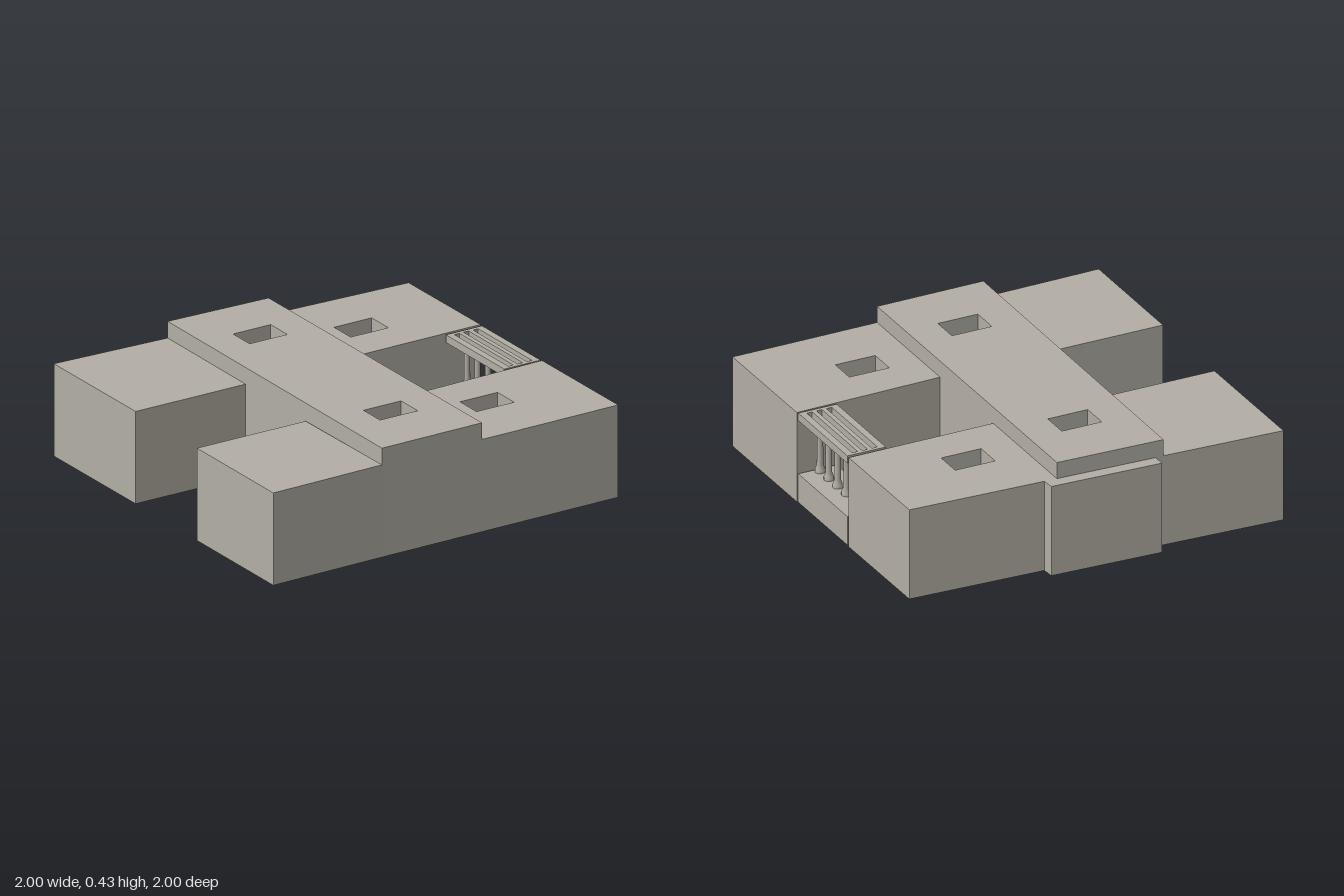
import * as THREE from 'three';
import { mergeGeometries } from 'three/addons/utils/BufferGeometryUtils.js';

const ANGLE = 0.54; // plan rotation of the whole building
const ROOF = 0.36, SPINE_ROOF = 0.425;

// Corners of a light well centred on (x, z), turned with the building
function wellCorners(x, z, w = 0.11, d = 0.162) {
  const c = Math.cos(ANGLE), s = Math.sin(ANGLE);
  return [[-1, -1], [1, -1], [1, 1], [-1, 1]].map(([i, j]) => {
    const u = i * w / 2, v = j * d / 2;
    return [x + u * c - v * s, z + u * s + v * c];
  });
}

const toVectors = (pts) => pts.map(([x, z]) => new THREE.Vector2(x, -z));

// Horizontal sheet with optional holes
function sheet(pts, y, holes = []) {
  const shape = new THREE.Shape(toVectors(pts));
  holes.forEach((h) => shape.holes.push(new THREE.Path(toVectors(h))));
  return new THREE.ShapeGeometry(shape).rotateX(-Math.PI / 2).translate(0, y, 0).toNonIndexed();
}

// Vertical walls standing on a closed outline
function walls(pts, height) {
  const pos = [], uv = [];
  pts.forEach(([ax, az], i) => {
    const [bx, bz] = pts[(i + 1) % pts.length];
    pos.push(ax, 0, az, ax, height, az, bx, height, bz);
    pos.push(ax, 0, az, bx, height, bz, bx, 0, bz);
    uv.push(0, 0, 0, 1, 1, 1, 0, 0, 1, 1, 1, 0);
  });
  const g = new THREE.BufferGeometry();
  g.setAttribute('position', new THREE.Float32BufferAttribute(pos, 3));
  g.setAttribute('uv', new THREE.Float32BufferAttribute(uv, 2));
  g.computeVertexNormals();
  return g;
}

export function createModel() {
  const group = new THREE.Group();
  const concrete = new THREE.MeshStandardMaterial({ color: 0xb2aea4, side: THREE.DoubleSide });
  concrete.name = 'concrete';

  const add = (name, geometry, parent = group) => {
    const mesh = new THREE.Mesh(geometry, concrete);
    mesh.name = name;
    parent.add(mesh);
    return mesh;
  };

  // Hollow block, open below, with light wells sunk through the roof to the ground
  const block = (name, pts, height, wells = []) => {
    const holes = wells.map((w) => wellCorners(w.x, w.z));
    const parts = [walls(pts, height), sheet(pts, height, holes)];
    holes.forEach((h, i) => {
      parts.push(walls([...h].reverse(), height));
      if (!wells[i].open) parts.push(sheet(h, 0.002));
    });
    add(name, mergeGeometries(parts));
  };

  // Four wings around a taller central spine
  block('backRightWing', [[-0.187, -1], [0.219, -0.759], [-0.08, -0.251], [-0.508, -0.508]],
    ROOF, [{ x: -0.155, z: -0.545 }]);
  block('backLeftWing', [[0.567, -0.551], [0.998, -0.294], [0.7, 0.214], [0.273, -0.032]],
    ROOF, [{ x: 0.561, z: -0.112 }]);
  block('frontRightWing', [[-0.738, -0.15], [-0.294, 0.118], [-0.537, 0.524], [-1, 0.248]], ROOF);
  block('frontLeftWing', [[0.053, 0.337], [0.481, 0.588], [0.246, 0.998], [-0.187, 0.738]], ROOF);
  block('centralSpine', [[-0.508, -0.508], [0.7, 0.214], [0.481, 0.588], [-0.738, -0.15]],
    SPINE_ROOF, [{ x: -0.385, z: -0.187 }, { x: 0.353, z: 0.254, open: true }]);
  block('sideBay', [[-0.524, -0.572], [-0.48, -0.55], [-0.722, -0.178], [-0.765, -0.203]], ROOF);

  // Colonnade closing the courtyard between the back wings
  const colonnade = new THREE.Group();
  colonnade.name = 'colonnade';
  colonnade.position.set(0.355, 0, -0.584);
  colonnade.rotation.y = -ANGLE;
  group.add(colonnade);
  const length = 0.386, depth = 0.156, baseHeight = 0.115, slabY = 0.33;

  add('colonnadeBase', new THREE.BoxGeometry(length, baseHeight, depth), colonnade)
    .position.y = baseHeight / 2;

  // Roof slab with three long slots
  const rect = (Type, x, y, w, h) => {
    const p = new Type();
    p.moveTo(x - w / 2, y - h / 2).lineTo(x + w / 2, y - h / 2);
    p.lineTo(x + w / 2, y + h / 2).lineTo(x - w / 2, y + h / 2);
    p.closePath();
    return p;
  };
  const slab = rect(THREE.Shape, 0, 0, length, depth);
  for (const k of [-1, 0, 1]) slab.holes.push(rect(THREE.Path, 0, k * 0.04, length - 0.03, 0.022));
  add('slottedRoof', new THREE.ExtrudeGeometry(slab, { depth: ROOF - slabY, bevelEnabled: false })
    .rotateX(-Math.PI / 2).translate(0, slabY, 0), colonnade);

  // Slim columns with flared feet and heads
  const h = slabY - baseHeight;
  const profile = [[0.019, 0], [0.019, 0.012], [0.012, 0.03], [0.011, h - 0.03], [0.019, h - 0.012], [0.019, h]]
    .map(([r, y]) => new THREE.Vector2(r, y));
  const columnGeometry = new THREE.LatheGeometry(profile, 12);
  for (let i = 0; i < 6; i++) {
    add('column', columnGeometry, colonnade)
      .position.set((i - 2.5) * 0.069, baseHeight, 0);
  }

  return group;
}
